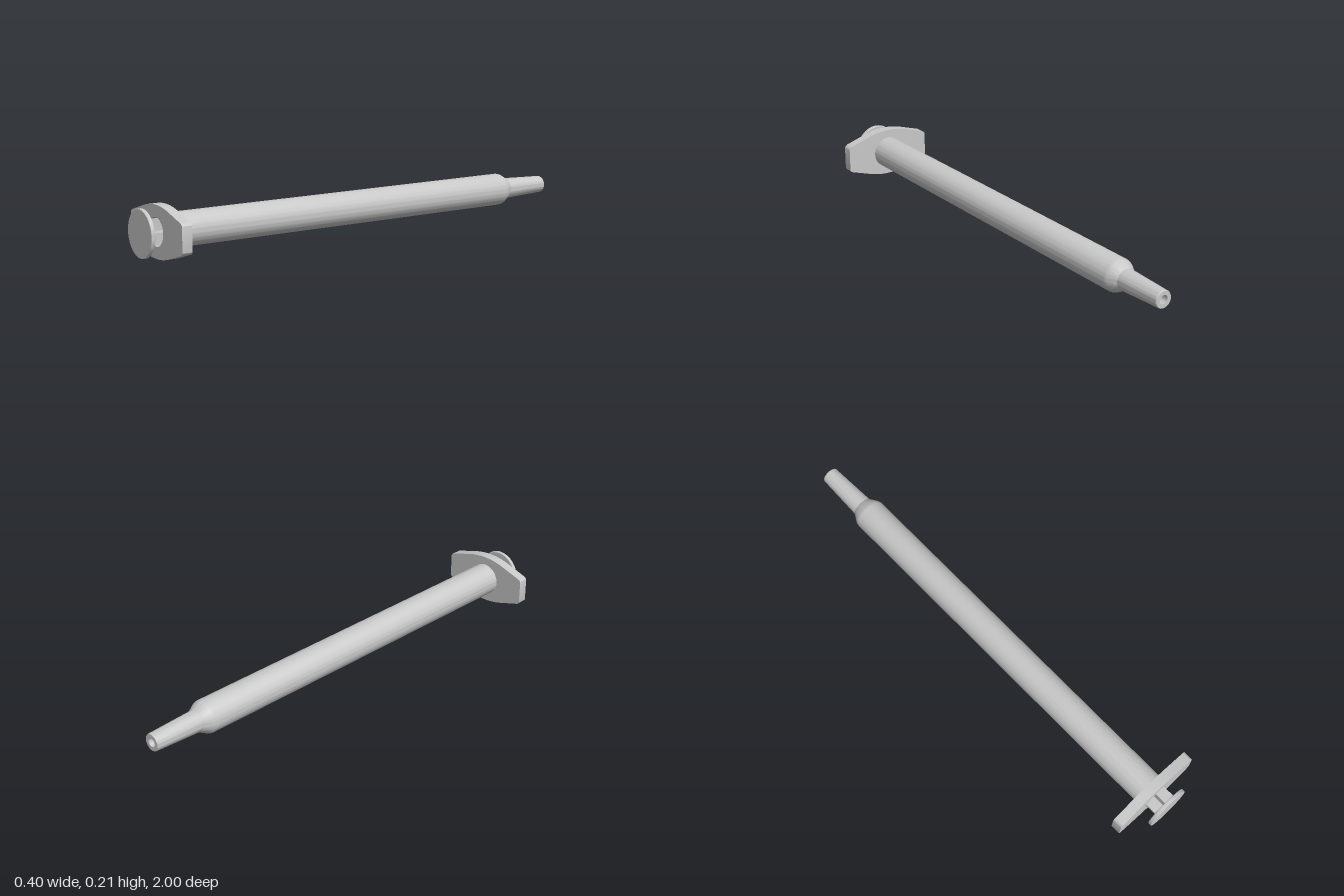
import * as THREE from 'three';
import { toCreasedNormals } from 'three/addons/utils/BufferGeometryUtils.js';

const AXIS_Y = 0.105;

export function createModel() {
  const model = new THREE.Group();
  model.name = 'syringe';
  const plastic = new THREE.MeshStandardMaterial({ color: 0xc8c8c8 });
  plastic.name = 'grey plastic';

  const add = (name, geometry, z = 0) => {
    const mesh = new THREE.Mesh(geometry, plastic);
    mesh.name = name;
    mesh.position.set(0, AXIS_Y, z);
    model.add(mesh);
    return mesh;
  };

  // Turned part along z; points are [radius, z], listed from front to back on the outside
  const turned = (points) => {
    const profile = points.map(([r, z]) => new THREE.Vector2(r, -z));
    const geometry = new THREE.LatheGeometry(profile, 64).rotateX(-Math.PI / 2);
    return toCreasedNormals(geometry, 0.3);
  };

  // Hollow barrel with a sloped shoulder and a tapered, bored nozzle
  add('barrel', turned([
    [0.056, 0.9], [0.068, 0.9], [0.068, -0.745], [0.065, -0.757],
    [0.048, -0.787], [0.044, -0.793], [0.036, -0.996], [0.034, -1],
    [0.018, -1], [0.018, -0.78], [0.056, -0.74], [0.056, 0.9],
  ]));

  // Finger flange: bowed plate with rounded ends and an opening for the plunger
  const flange = new THREE.Shape();
  flange.moveTo(0.198, -0.045);
  flange.lineTo(0.198, 0.045);
  flange.quadraticCurveTo(0.198, 0.057, 0.183, 0.061);
  flange.lineTo(0.09, 0.09);
  flange.quadraticCurveTo(0.045, 0.103, 0, 0.103);
  flange.quadraticCurveTo(-0.045, 0.103, -0.09, 0.09);
  flange.lineTo(-0.183, 0.061);
  flange.quadraticCurveTo(-0.198, 0.057, -0.198, 0.045);
  flange.lineTo(-0.198, -0.045);
  flange.quadraticCurveTo(-0.198, -0.057, -0.183, -0.061);
  flange.lineTo(-0.09, -0.09);
  flange.quadraticCurveTo(-0.045, -0.103, 0, -0.103);
  flange.quadraticCurveTo(0.045, -0.103, 0.09, -0.09);
  flange.lineTo(0.183, -0.061);
  flange.quadraticCurveTo(0.198, -0.057, 0.198, -0.045);
  flange.holes.push(new THREE.Path().absarc(0, 0, 0.056, 0, Math.PI * 2, true));
  const plate = new THREE.ExtrudeGeometry(flange, { depth: 0.042, bevelEnabled: false, curveSegments: 16 });
  add('fingerFlange', toCreasedNormals(plate, 0.5), 0.89);

  // Plunger: crossed ribs, a stopper inside the barrel and a round thumb rest
  const ribLength = 1.59;
  const ribZ = 0.988 - ribLength / 2;
  add('plungerRibHorizontal', new THREE.BoxGeometry(0.102, 0.011, ribLength), ribZ);
  add('plungerRibVertical', new THREE.BoxGeometry(0.011, 0.102, ribLength), ribZ);
  add('plungerStopper', turned([
    [0, -0.6], [0.055, -0.6], [0.055, -0.7], [0, -0.735],
  ]));
  add('thumbRest', turned([
    [0, 1], [0.092, 1], [0.094, 0.998], [0.094, 0.986], [0.092, 0.984], [0, 0.984],
  ]));

  return model;
}
